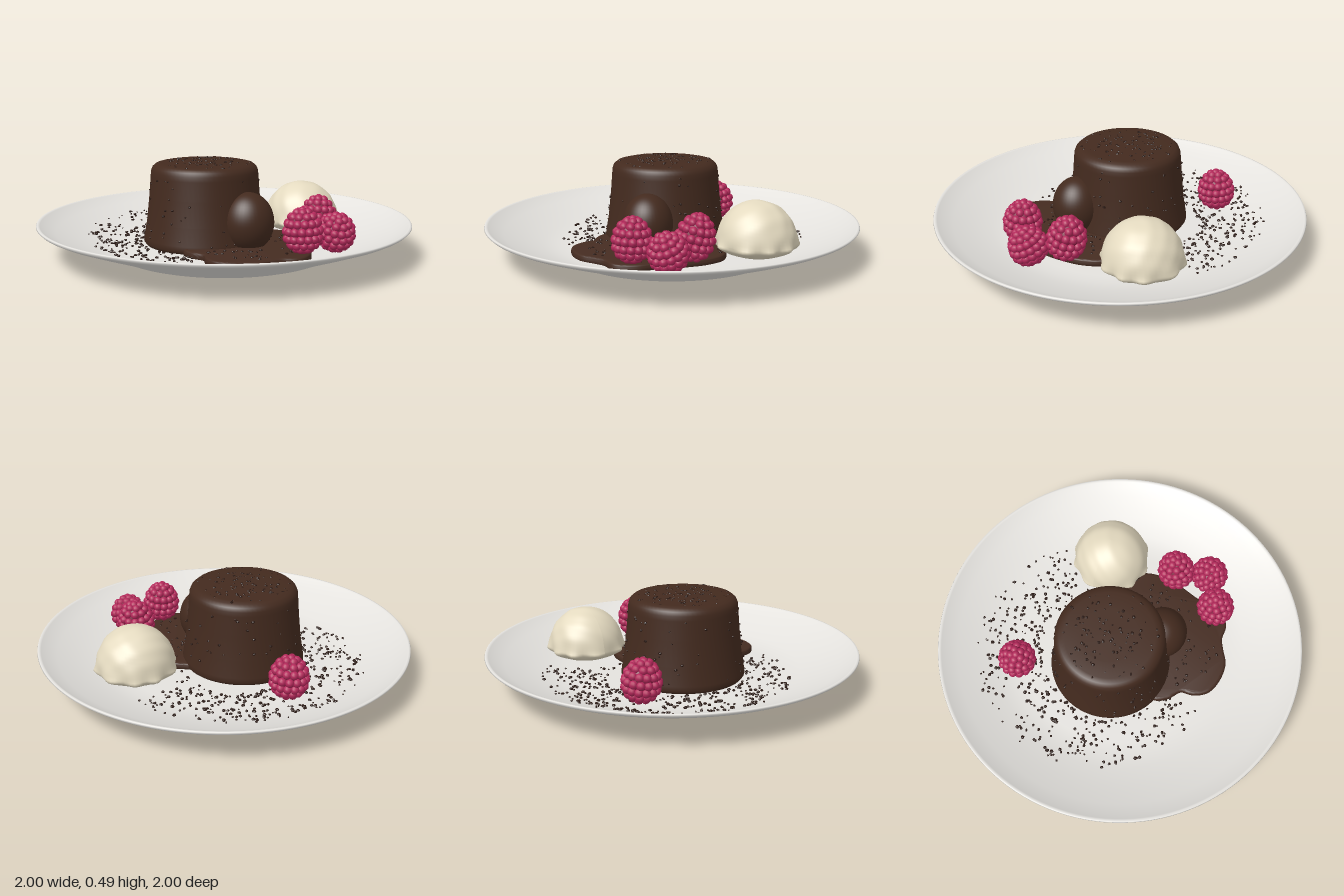
import * as THREE from 'three';
import { mergeGeometries, toCreasedNormals } from 'three/addons/utils/BufferGeometryUtils.js';

const paint = (name, color) => Object.assign(new THREE.MeshStandardMaterial({ color }), { name });
const V2 = (list) => list.map(([x, y]) => new THREE.Vector2(x, y));

// Upper surface of the plate as [radius, height]
const DISH = [[0, 0.05], [0.55, 0.05], [0.62, 0.053], [0.7, 0.068], [0.8, 0.1], [0.9, 0.138], [0.955, 0.165], [0.98, 0.181]];
const CAKE = [[0, 0.05], [0.32, 0.05], [0.331, 0.065], [0.328, 0.09], [0.312, 0.185], [0.298, 0.32], [0.29, 0.42], [0.288, 0.445],
  [0.28, 0.465], [0.262, 0.48], [0.235, 0.486], [0.15, 0.489], [0, 0.49]];
const CAKE_X = -0.105;

function dishHeight(r) {
  const i = Math.max(1, DISH.findIndex(([pr]) => pr >= r));
  const [a, b] = [DISH[i - 1], DISH[i]];
  return a[1] + (b[1] - a[1]) * (r - a[0]) / (b[0] - a[0]);
}

function seeded(seed) {
  return () => {
    seed = (seed * 16807) % 2147483647;
    return seed / 2147483647;
  };
}

// Puddle outline, given as x and z
function sauceShape() {
  const outline = [[0, -0.15], [0.2, -0.17], [0.32, -0.16], [0.43, -0.1], [0.47, 0], [0.47, 0.12], [0.45, 0.25], [0.45, 0.36], [0.4, 0.45],
    [0.31, 0.47], [0.25, 0.51], [0.19, 0.555], [0.1, 0.57], [0.01, 0.55], [-0.04, 0.49], [-0.06, 0.42], [-0.13, 0.375], [-0.17, 0.32], [-0.15, 0.15]];
  const curve = new THREE.CatmullRomCurve3(outline.map(([x, z]) => new THREE.Vector3(x, -z, 0)), true);
  return new THREE.Shape(curve.getPoints(110).reverse().map((p) => new THREE.Vector2(p.x, p.y)));
}

// Scoop: a dome whose lower edge spreads into an uneven ruffle
function scoopGeometry() {
  const geo = new THREE.SphereGeometry(1, 64, 40);
  const pos = geo.attributes.position;
  for (let i = 0; i < pos.count; i++) {
    const x = pos.getX(i), y = pos.getY(i), z = pos.getZ(i);
    const a = Math.atan2(z, x);
    const skirt = Math.exp(-(((y + 0.25) / 0.3) ** 2));
    const ruffle = 0.65 + 0.6 * Math.sin(a * 10 + 0.8 * Math.sin(a * 3));
    const bump = 0.0022 * Math.sin(9 * x + 4 * z) * Math.sin(11 * y + 7 * z);
    const r = 0.205 + bump + skirt * 0.017 * ruffle;
    pos.setXYZ(i, x * r, y > 0 ? y * (0.205 + bump) : y * 0.085, z * r);
  }
  geo.computeVertexNormals();
  return geo;
}

// Berry: rows of small beads around a tapered body
function berryBeads(h) {
  const beads = [];
  const rows = 8;
  for (let row = 0; row <= rows; row++) {
    const t = -Math.PI / 2 + Math.PI * row / rows;
    const ring = Math.cos(t) * (0.083 - 0.008 * Math.sin(t));
    const count = Math.max(1, Math.round(2 * Math.PI * ring / 0.037));
    for (let k = 0; k < count; k++) {
      const a = 2 * Math.PI * (k + (row % 2) / 2) / count + row * 0.15;
      const bead = new THREE.SphereGeometry(0.0225, 10, 8);
      bead.translate(Math.cos(a) * ring, Math.sin(t) * (h - 0.0225), Math.sin(a) * ring);
      beads.push(bead);
    }
  }
  return mergeGeometries(beads);
}

export function createModel() {
  const group = new THREE.Group();
  const porcelain = paint('porcelain', 0xe4e2de);
  const sponge = paint('chocolateSponge', 0x432a1e);
  const sauceMat = paint('chocolateSauce', 0x452c21);
  const crumbMat = paint('darkCrumb', 0x291812);
  const cream = paint('vanillaCream', 0xe4dac0);
  const berryMat = paint('raspberryRed', 0xb3285a);
  const coreMat = paint('raspberryCore', 0x7c1639);

  const add = (name, geo, mat, x = 0, y = 0, z = 0, parent = group) => {
    const mesh = new THREE.Mesh(geo, mat);
    mesh.name = name;
    mesh.position.set(x, y, z);
    parent.add(mesh);
    return mesh;
  };

  // Plate: underside, rounded rim and shallow dish
  const under = [[0, 0.006], [0.5, 0.006], [0.52, 0], [0.56, 0], [0.585, 0.008], [0.62, 0.023], [0.7, 0.055], [0.85, 0.11],
    [0.96, 0.152], [0.99, 0.167], [1, 0.177], [0.997, 0.184], [0.988, 0.185]];
  add('plate', new THREE.LatheGeometry(V2([...under, ...[...DISH].reverse()]), 128), porcelain);

  // Cake and the molten bulge at its side
  add('cake', new THREE.LatheGeometry(V2(CAKE), 72), sponge, CAKE_X);
  add('moltenBulge', new THREE.SphereGeometry(1, 40, 28).scale(0.136, 0.157, 0.132), sponge, 0.14, 0.2, 0.19);

  // Sauce puddle
  const puddle = new THREE.ExtrudeGeometry(sauceShape(), { depth: 0.014, bevelSize: 0.014, bevelThickness: 0.014, bevelSegments: 4 });
  puddle.rotateX(-Math.PI / 2);
  add('saucePuddle', toCreasedNormals(puddle, 0.7), sauceMat, 0, 0.054, 0);

  add('creamScoop', scoopGeometry(), cream, 0.425, 0.135, -0.3);

  // Raspberries: x, z, centre height, half height, tilt
  const berries = [[-0.38, -0.43, 0.178, 0.118, 0.1], [0.505, 0.075, 0.205, 0.126, -0.15], [0.59, 0.25, 0.17, 0.108, 0.3], [0.42, 0.37, 0.2, 0.12, -0.1]];
  berries.forEach(([x, z, y, h, tilt], i) => {
    const berry = new THREE.Group();
    berry.name = 'raspberry' + (i + 1);
    berry.position.set(x, y, z);
    berry.rotation.set(tilt, i * 1.3, tilt * 0.6);
    add('beads', berryBeads(h), berryMat, 0, 0, 0, berry);
    add('core', new THREE.SphereGeometry(1, 20, 14).scale(0.085, h - 0.02, 0.085), coreMat, 0, 0, 0, berry);
    group.add(berry);
  });

  // Crumbs scattered over plate, sauce and cake
  const rand = seeded(4711);
  const scatter = (name, count, place) => {
    const bits = [];
    while (bits.length < count) {
      const p = place();
      if (!p) continue;
      const s = 0.005 + 0.006 * rand();
      const bit = new THREE.IcosahedronGeometry(1, 0).scale(s, s * 0.7, s * (0.7 + 0.5 * rand()));
      bits.push(bit.rotateY(rand() * 6.28).translate(...p));
    }
    add(name, mergeGeometries(bits), crumbMat);
  };

  scatter('plateCrumbs', 430, () => {
    const a = rand() * Math.PI * 2, r = 0.3 + 0.36 * rand();
    const x = -0.1 + r * Math.cos(a), z = -0.1 + r * Math.sin(a);
    if (Math.hypot(x - CAKE_X, z) < 0.34 || Math.hypot(x - 0.425, z + 0.3) < 0.22) return null;
    if (x > -0.12 && z > -0.15) return null;
    return [x, dishHeight(Math.hypot(x, z)) + 0.004, z];
  });
  scatter('sauceCrumbs', 60, () => {
    const x = -0.05 + 0.47 * rand(), z = -0.12 + 0.65 * rand();
    if (Math.hypot(x - CAKE_X, z) < 0.34 || Math.hypot(x - 0.14, z - 0.19) < 0.15) return null;
    if (x + z > 0.75 || z - x > 0.47) return null;
    return [x, 0.083, z];
  });
  scatter('cakeTopCrumbs', 130, () => {
    const a = rand() * Math.PI * 2, r = 0.25 * Math.sqrt(rand());
    return [CAKE_X + r * Math.cos(a), r > 0.2 ? 0.482 : 0.488, r * Math.sin(a)];
  });
  scatter('cakeSideCrumbs', 80, () => {
    const a = rand() * Math.PI * 2, y = 0.09 + 0.35 * rand();
    const r = 0.326 - (y - 0.09) * 0.113;
    return [CAKE_X + r * Math.cos(a), y, r * Math.sin(a)];
  });

  return group;
}
